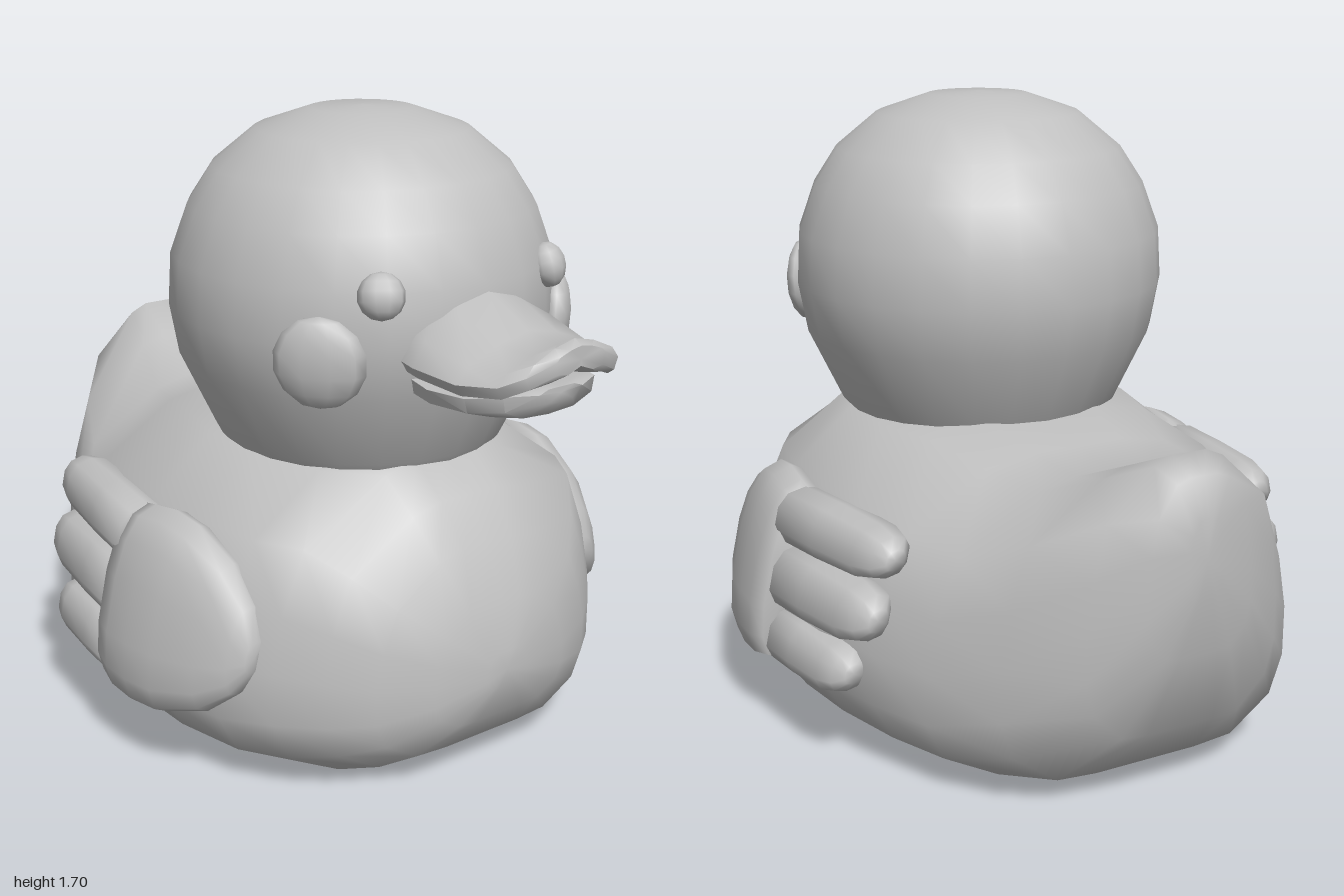
import * as THREE from 'three';
import { toCreasedNormals } from 'three/addons/utils/BufferGeometryUtils.js';

// Skin closed rings that run along +x; each ring goes bottom, +z side, top, -z side
function loft(rings) {
  const n = rings[0].length, pos = [], idx = [];
  rings.forEach(r => r.forEach(p => pos.push(...p)));
  const centre = r => [0, 1, 2].map(k => r.reduce((s, p) => s + p[k], 0) / n);
  pos.push(...centre(rings[0]), ...centre(rings.at(-1)));
  const first = rings.length * n, last = first + 1, end = (rings.length - 1) * n;
  for (let j = 0; j < n; j++) {
    const k = (j + 1) % n;
    for (let i = 0; i < end; i += n) {
      idx.push(i + j, i + n + j, i + k, i + k, i + n + j, i + n + k);
    }
    idx.push(first, j, k, last, end + k, end + j);
  }
  const g = new THREE.BufferGeometry();
  g.setAttribute('position', new THREE.Float32BufferAttribute(pos, 3));
  g.setIndex(idx);
  g.computeVertexNormals();
  return g;
}

// Mirror a half section of [z, y] points into a closed ring at x
function mirrorRing(x, half) {
  const inner = half.slice(1, -1).reverse().map(([z, y]) => [x, y, -z]);
  return [...half.map(([z, y]) => [x, y, z]), ...inner];
}

// Leaning oval section of a wing part
function ovalRing(x, y, z, h, d, side, lean, n = 14) {
  return Array.from({ length: n }, (_, i) => {
    const a = i / n * Math.PI * 2;
    const round = v => Math.sign(v) * Math.abs(v) ** 0.8;
    const v = -round(Math.cos(a)) * h, u = round(Math.sin(a)) * d;
    return [x, y + v, side * z + u - side * lean * v];
  });
}

export function createModel() {
  const group = new THREE.Group();
  const grey = new THREE.MeshStandardMaterial({ color: 0xc0c0c0 });
  grey.name = 'plain grey';
  const add = (name, geometry) => {
    const mesh = new THREE.Mesh(geometry, grey);
    mesh.name = name;
    group.add(mesh);
    return mesh;
  };

  // Body with upturned tail: x, bottom, top, half width, width of the top
  const body = [
    [-1.0, 0.6, 0.8, 0.05, 0.5], [-0.975, 0.44, 0.9, 0.15, 0.5],
    [-0.91, 0.22, 0.94, 0.28, 0.35], [-0.76, 0.06, 0.875, 0.43, 0.35],
    [-0.57, 0.005, 0.795, 0.54, 0.4], [-0.4, 0, 0.815, 0.61, 0.45],
    [-0.2, 0, 0.85, 0.67, 0.5], [0, 0, 0.85, 0.695, 0.56],
    [0.2, 0, 0.85, 0.69, 0.57], [0.4, 0, 0.845, 0.64, 0.5],
    [0.52, 0.005, 0.84, 0.555, 0.35], [0.62, 0.04, 0.75, 0.46, 0.4],
    [0.7, 0.09, 0.64, 0.36, 0.45], [0.765, 0.18, 0.5, 0.22, 0.5],
    [0.79, 0.27, 0.37, 0.07, 0.5],
  ];
  add('body', loft(body.map(([x, y0, y1, w, top]) => mirrorRing(x, [
    [0, 0], [0.35, 0], [0.62, 0.012], [0.91, 0.12], [1, 0.25], [1, 0.42],
    [0.94, 0.6], [0.82, 0.8], [top, 0.97], [top * 0.5, 1], [0, 1],
  ].map(([z, t]) => [z * w, y0 + t * (y1 - y0)])))));

  // Head
  const headProfile = [
    [0.34, 0.77], [0.4, 0.84], [0.495, 1.04], [0.52, 1.18], [0.512, 1.32],
    [0.465, 1.45], [0.4, 1.55], [0.285, 1.645], [0.14, 1.695], [0, 1.702],
  ].map(p => new THREE.Vector2(...p));
  add('head', new THREE.LatheGeometry(headProfile, 24)).position.x = 0.16;

  // Upper bill, arched and turned up at the tip: x, half width, ridge, side, underside
  const upper = [
    [0.58, 0.22, 1.32, 1.15, 1.15], [0.68, 0.245, 1.3, 1.15, 1.15],
    [0.82, 0.23, 1.235, 1.14, 1.16], [0.92, 0.19, 1.225, 1.15, 1.165],
    [0.975, 0.15, 1.252, 1.18, 1.17], [1.0, 0.08, 1.24, 1.21, 1.19],
  ];
  add('upperBill', toCreasedNormals(loft(upper.map(([x, w, ridge, edge, under]) =>
    mirrorRing(x, [
      [0, under], [w * 0.5, under - 0.015], [w * 0.92, edge - 0.03], [w, edge],
      [w * 0.85, edge + (ridge - edge) * 0.4], [w * 0.42, edge + (ridge - edge) * 0.8],
      [0, ridge],
    ]))), 0.9));

  // Lower bill: x, half width, bottom, top
  const lower = [
    [0.58, 0.19, 1.03, 1.11], [0.7, 0.215, 1.028, 1.105],
    [0.82, 0.2, 1.032, 1.11], [0.9, 0.15, 1.045, 1.125], [0.94, 0.07, 1.085, 1.125],
  ];
  add('lowerBill', toCreasedNormals(loft(lower.map(([x, w, y0, y1]) =>
    mirrorRing(x, [
      [0, y0], [w * 0.55, y0 + 0.005], [w * 0.95, y0 + 0.03], [w, y1 - 0.01],
      [w * 0.6, y1], [0, y1],
    ]))), 0.9));

  // Eyes and cheeks sit on the head, facing outwards
  const button = (name, x, y, z, r, depth) => {
    const mesh = add(name, new THREE.SphereGeometry(1, 10, 7));
    mesh.scale.set(r, r, depth);
    mesh.position.set(x, y, z);
    mesh.lookAt(x + (x - 0.16), y + (y - 1.18), z * 2);
  };

  for (const side of [1, -1]) {
    const label = side > 0 ? 'left' : 'right';
    button(label + 'Eye', 0.595, 1.315, side * 0.275, 0.06, 0.045);
    button(label + 'Cheek', 0.5, 1.145, side * 0.39, 0.12, 0.05);

    // Rounded front of the wing: x, y, z, half height, half depth
    const palm = [
      [-0.01, 0.435, 0.655, 0.235, 0.085], [0.06, 0.435, 0.66, 0.25, 0.095],
      [0.15, 0.438, 0.655, 0.26, 0.095], [0.25, 0.435, 0.645, 0.25, 0.09],
      [0.38, 0.425, 0.615, 0.195, 0.075], [0.455, 0.41, 0.59, 0.115, 0.055],
      [0.483, 0.4, 0.58, 0.04, 0.03],
    ];
    add(label + 'WingFront', loft(palm.map(([x, y, z, h, d]) =>
      ovalRing(x, y, z, h, d, side, 0.22))));

    // Three wing feathers: tip x, tip y, root y, tip z, root z, half height
    [
      [-0.46, 0.615, 0.6, 0.565, 0.625, 0.075],
      [-0.445, 0.455, 0.44, 0.61, 0.66, 0.085],
      [-0.365, 0.285, 0.275, 0.645, 0.675, 0.075],
    ].forEach(([tip, y0, y1, z0, z1, h], i) => {
      const feather = [[0, 0.35], [0.06, 0.72], [0.2, 0.92], [0.6, 1], [1, 1]];
      add(label + 'WingFeather' + (i + 1), loft(feather.map(([t, s]) => ovalRing(
        tip + (0.02 - tip) * t, y0 + (y1 - y0) * t, z0 + (z1 - z0) * t,
        h * s, 0.075 * s, side, 0.22, 10))));
    });
  }
  return group;
}
